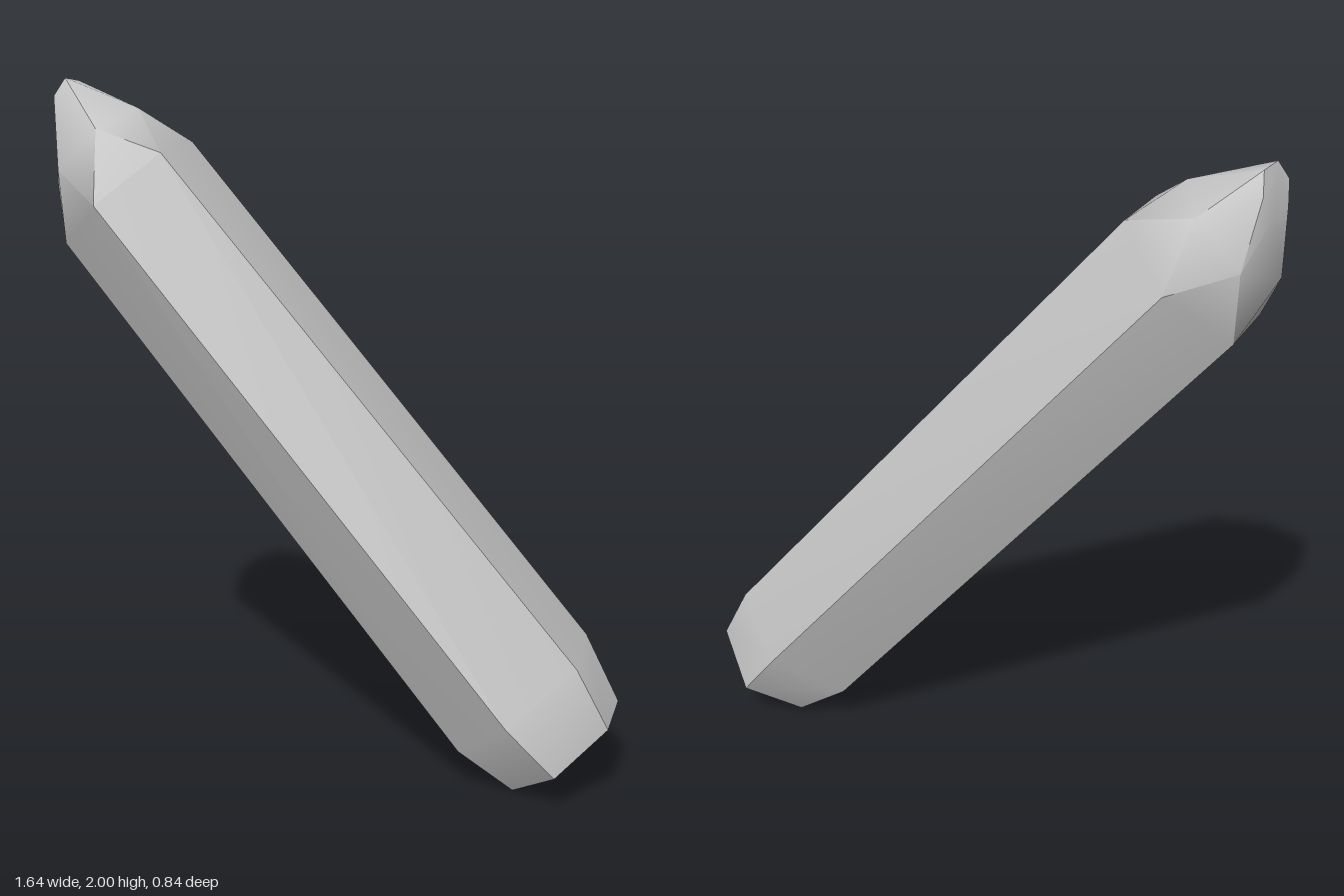
import * as THREE from 'three';

const CREASE_COS = Math.cos(0.72);

// A centrally symmetric hexagon: three corners, then their mirrors through the centre.
function hexRing(centre, ...corners) {
  const mirrored = corners.map(p => p.map((v, k) => 2 * centre[k] - v));
  return [...corners, ...mirrored].map(p => new THREE.Vector3(...p));
}

// Cross-sections from the cut base to the small tip facet.
const base = hexRing([0.665, 0.115, -0.215],
  [0.82, 0.225, -0.16], [0.765, 0.23, -0.35], [0.6, 0.12, -0.42]);
const lowerShoulder = hexRing([0.545, 0.27, -0.168],
  [0.745, 0.41, -0.1], [0.655, 0.415, -0.35], [0.47, 0.28, -0.41]);
const upperShoulder = hexRing([-0.59, 1.68, 0.185],
  [-0.4, 1.81, 0.27], [-0.47, 1.82, 0.04], [-0.66, 1.69, -0.05]);
// This ring is turned half a step, giving the point its triangular facets.
const pointRing = hexRing([-0.695, 1.81, 0.198],
  [-0.57, 1.92, 0.16], [-0.675, 1.87, 0.05], [-0.8, 1.75, 0.075]);
const tip = hexRing([-0.807, 1.94, 0.195],
  [-0.79, 2, 0.22], [-0.79, 1.99, 0.16], [-0.807, 1.93, 0.138]);

// Triangles to geometry, with area-weighted normals smoothed below the crease angle.
function creasedGeometry(triangles) {
  const faces = triangles.map(([a, b, c]) => {
    const area = b.clone().sub(a).cross(c.clone().sub(a));
    return { corners: [a, b, c], area, unit: area.clone().normalize() };
  });
  const positions = [];
  const normals = [];
  for (const face of faces) {
    for (const corner of face.corners) {
      const normal = new THREE.Vector3();
      for (const other of faces) {
        if (other.corners.includes(corner) && other.unit.dot(face.unit) > CREASE_COS) {
          normal.add(other.area);
        }
      }
      positions.push(...corner);
      normals.push(...normal.normalize());
    }
  }
  const geometry = new THREE.BufferGeometry();
  geometry.setAttribute('position', new THREE.Float32BufferAttribute(positions, 3));
  geometry.setAttribute('normal', new THREE.Float32BufferAttribute(normals, 3));
  return geometry;
}

function crystalGeometry() {
  const triangles = [];
  const tri = (...corners) => triangles.push(corners);

  for (let i = 0; i < 6; i++) {
    const j = (i + 1) % 6;
    // Straight sides: bevelled foot and long shaft
    for (const [low, high] of [[base, lowerShoulder], [lowerShoulder, upperShoulder]]) {
      tri(low[i], low[j], high[j]);
      tri(low[i], high[j], high[i]);
    }
    // Staggered facets of the point
    tri(upperShoulder[i], upperShoulder[j], pointRing[i]);
    tri(upperShoulder[j], pointRing[j], pointRing[i]);
    tri(pointRing[i], tip[j], tip[i]);
    tri(pointRing[i], pointRing[j], tip[j]);
  }
  // Flat end caps
  for (let i = 1; i < 5; i++) {
    tri(base[0], base[i + 1], base[i]);
    tri(tip[0], tip[i], tip[i + 1]);
  }
  return creasedGeometry(triangles);
}

export function createModel() {
  const group = new THREE.Group();
  group.name = 'crystalShard';
  const stone = new THREE.MeshStandardMaterial({ color: 0xc4c4c4 });
  stone.name = 'light grey stone';
  const crystal = new THREE.Mesh(crystalGeometry(), stone);
  crystal.name = 'crystal';
  group.add(crystal);
  return group;
}
